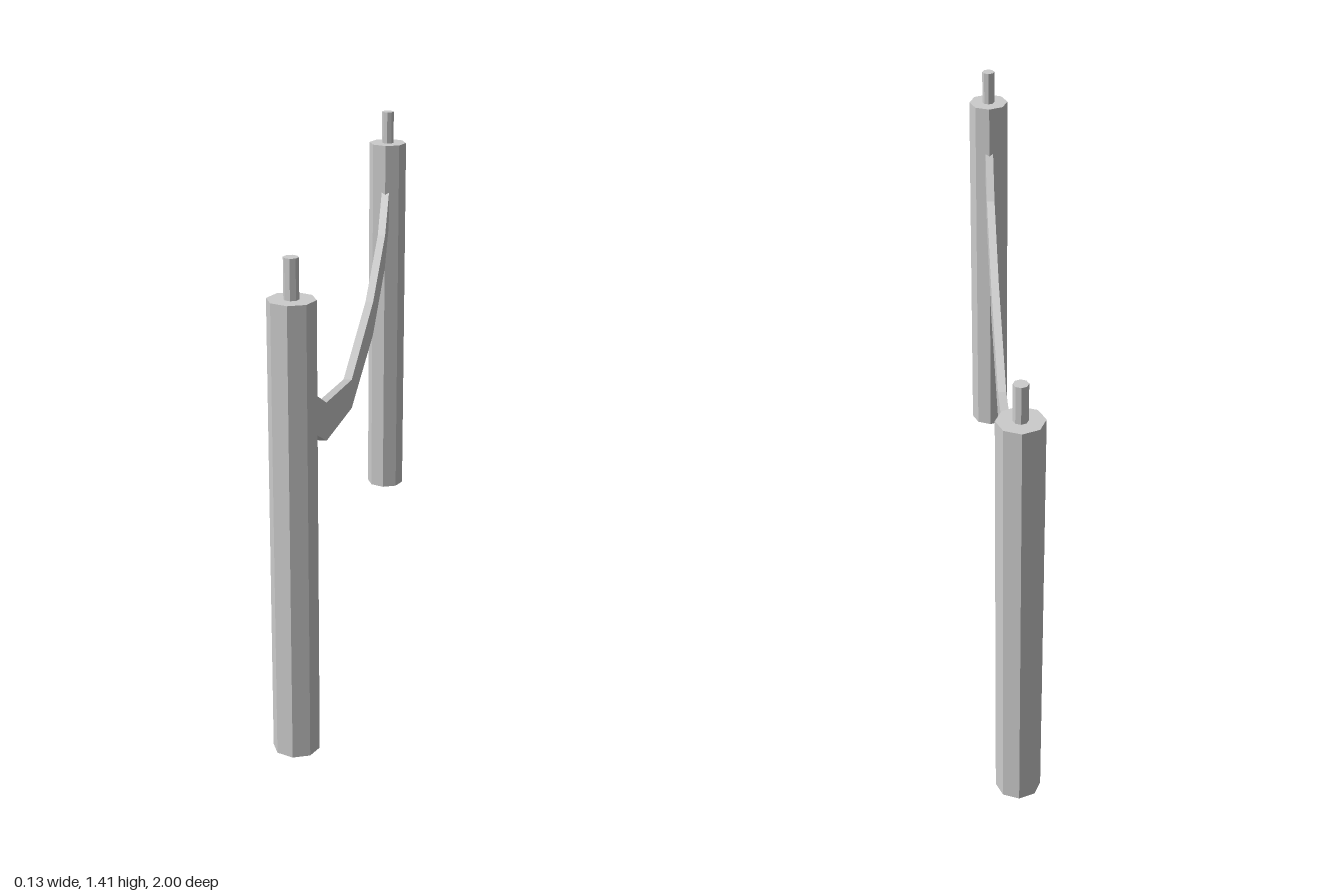
import * as THREE from 'three';

const material = new THREE.MeshStandardMaterial({ color: 0xcccccc, flatShading: true });

// Upright octagonal prism standing from y0 to y1
function prism(name, rx, rz, y0, y1) {
  const geometry = new THREE.CylinderGeometry(1, 1, y1 - y0, 8);
  geometry.scale(rx, 1, rz);
  geometry.translate(0, (y0 + y1) / 2, 0);
  const mesh = new THREE.Mesh(geometry, material);
  mesh.name = name;
  return mesh;
}

// Post with a thin pin on top
function createPost(name, z) {
  const post = new THREE.Group();
  post.name = name;
  post.add(prism('postShaft', 0.065, 0.061, 0, 1.298));
  post.add(prism('postPin', 0.0205, 0.0195, 1.298, 1.408));
  post.position.z = z;
  return post;
}

// Sagging rail between the posts: [z, top y, bottom y] for one half, mirrored
function createRail() {
  const half = [[0, 0.745, 0.65], [0.485, 0.85, 0.733], [0.785, 1.0, 0.883], [0.885, 1.133, 1.01]];
  const stations = [...half.slice(1).reverse().map(([z, t, b]) => [-z, t, b]), ...half];
  const bottom = stations.map(([z, , b]) => new THREE.Vector2(z, b));
  const top = stations.map(([z, t]) => new THREE.Vector2(z, t)).reverse();
  const width = 0.026;
  const geometry = new THREE.ExtrudeGeometry(new THREE.Shape([...bottom, ...top]), {
    depth: width, bevelEnabled: false,
  });
  geometry.translate(0, 0, -width / 2);
  geometry.rotateY(-Math.PI / 2);
  const rail = new THREE.Mesh(geometry, material);
  rail.name = 'saggingRail';
  return rail;
}

export function createModel() {
  const model = new THREE.Group();
  model.name = 'postBarrier';
  model.add(createPost('frontPost', 0.939), createPost('backPost', -0.939), createRail());
  return model;
}
